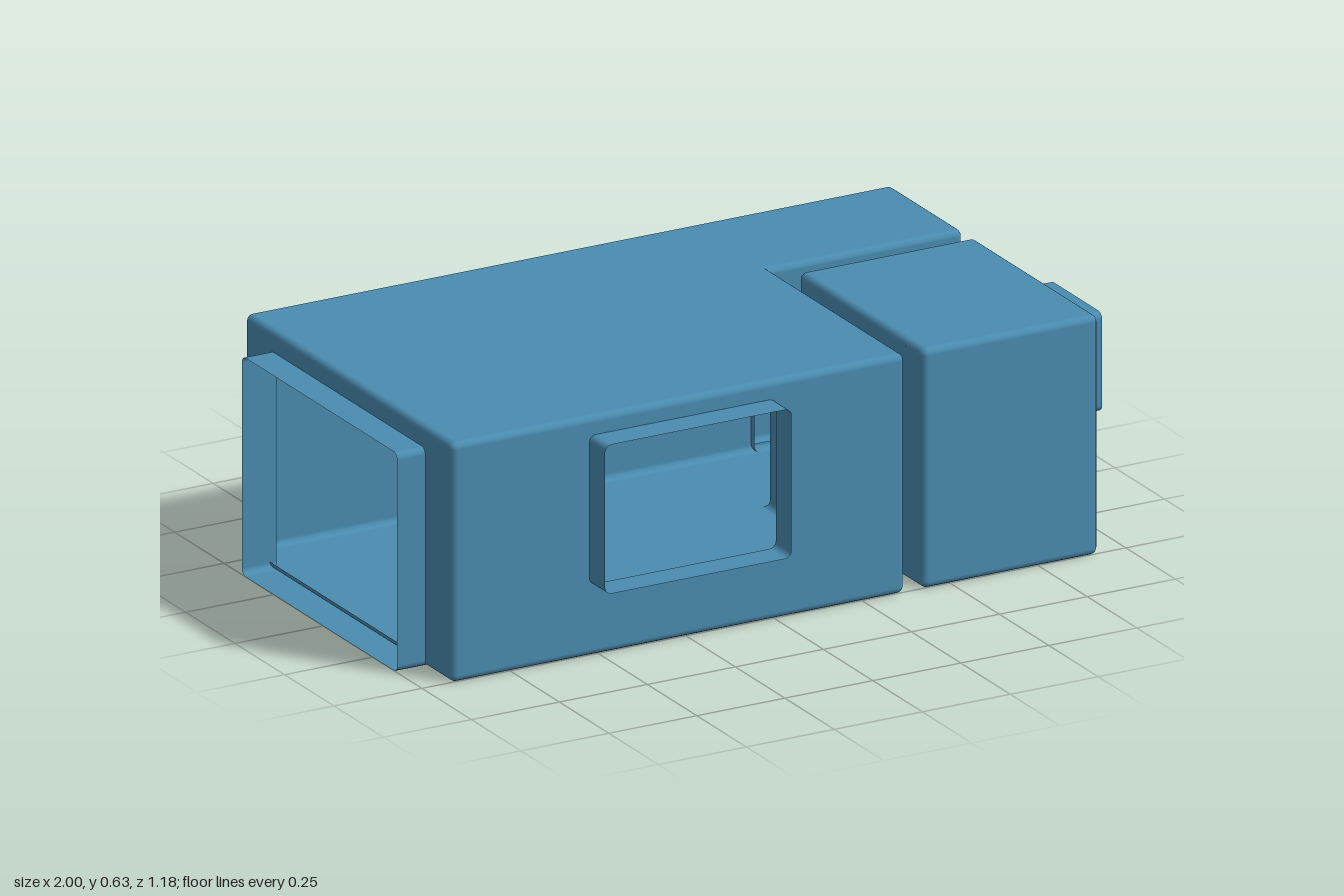
import * as THREE from 'three';

const R = 0.018;      // edge rounding
const HEIGHT = 0.635; // room height
const STEPS = 4;      // facets per rounded corner

// Counter-clockwise outline with rounded convex corners, moved inwards by inset.
// Each entry is [x, y, normalX, normalY, endsCorner].
function outline(poly, inset) {
  const points = [];
  const n = poly.length;
  poly.forEach((p, i) => {
    const a = poly[(i + n - 1) % n], b = poly[(i + 1) % n];
    const before = Math.atan2(p[1] - a[1], p[0] - a[0]) - Math.PI / 2;
    const after = Math.atan2(b[1] - p[1], b[0] - p[0]) - Math.PI / 2;
    const convex = Math.sin(after - before) > 0;
    const reach = convex ? R : inset;
    const cx = p[0] - reach * (Math.cos(before) + Math.cos(after));
    const cy = p[1] - reach * (Math.sin(before) + Math.sin(after));
    const radius = convex ? R - inset : 0;
    const steps = convex ? STEPS : 1;
    const turn = convex ? Math.PI / 2 : -Math.PI / 2;
    for (let k = 0; k <= steps; k++) {
      const t = before + turn * k / steps;
      const nx = Math.cos(t), ny = Math.sin(t);
      points.push([cx + radius * nx, cy + radius * ny, nx, ny, k === steps]);
    }
  });
  return points;
}

// Skin through rings [depth, inset, tilt]; cornersOnly leaves out the flat sides.
function loft(poly, rings, cornersOnly = false) {
  const pos = [], nor = [], index = [];
  let count = 0;
  rings.forEach(([w, inset, tilt], row) => {
    const pts = outline(poly, inset);
    count = pts.length;
    pts.forEach(([x, y, nx, ny, last], j) => {
      pos.push(x, y, w);
      nor.push(nx * Math.cos(tilt), ny * Math.cos(tilt), Math.sin(tilt));
      if (row === 0 || (cornersOnly && last)) return;
      const k = (j + 1) % count, lo = (row - 1) * count, hi = row * count;
      index.push(lo + j, lo + k, hi + k, lo + j, hi + k, hi + j);
    });
  });
  const g = new THREE.BufferGeometry();
  g.setAttribute('position', new THREE.Float32BufferAttribute(pos, 3));
  g.setAttribute('normal', new THREE.Float32BufferAttribute(nor, 3));
  g.setIndex(index);
  return g;
}

// Quarter-round rings, from flat side towards a cap at depth w (dir +1 top, -1 bottom)
function bevel(w, dir) {
  const rings = [];
  for (let k = 0; k <= STEPS; k++) {
    const t = Math.PI / 2 * k / STEPS;
    rings.push([w - dir * R * (1 - Math.sin(t)), R * (1 - Math.cos(t)), dir * t]);
  }
  return dir > 0 ? rings : rings.reverse();
}

const toShape = pts => new THREE.Shape(pts.map(([x, y]) => new THREE.Vector2(x, y)));

// Flat cap inside the rounded edge
function cap(poly) {
  const pts = outline(poly, R).filter(p => p[4]);
  return new THREE.ShapeGeometry(toShape(pts));
}

const rect = (x0, x1, y0, y1) => [[x0, y0], [x1, y0], [x1, y1], [x0, y1]];

// Hollow room; the plan is in (x, -z), ports are openings given along a wall
function room(name, plan, ports, material) {
  const group = new THREE.Group();
  group.name = name;
  const add = (label, g) => {
    const mesh = new THREE.Mesh(g, material);
    mesh.name = label;
    group.add(mesh);
  };
  const upright = g => g.rotateX(-Math.PI / 2);

  // Floor, ceiling and rounded edges
  add('floor', cap(plan).rotateX(Math.PI / 2).scale(1, 1, -1));
  const floor = group.children[0].geometry;
  floor.index.array.reverse();
  floor.attributes.normal.array.forEach((_, i, a) => { a[i] = i % 3 === 1 ? -1 : 0; });
  add('ceiling', upright(cap(plan)).translate(0, HEIGHT, 0));
  add('floorEdge', upright(loft(plan, bevel(0, -1))));
  add('ceilingEdge', upright(loft(plan, bevel(HEIGHT, 1))));
  add('wallCorners', upright(loft(plan, [[R, 0, 0], [HEIGHT - R, 0, 0]], true)));

  // Walls with openings, each laid out in its own plane
  const ring = outline(plan, 0);
  const ends = ring.map((p, i) => (p[4] ? i : -1)).filter(i => i >= 0);
  plan.forEach((p, i) => {
    const q = plan[(i + 1) % plan.length];
    const angle = Math.atan2(q[1] - p[1], q[0] - p[0]);
    const place = g => g.rotateY(angle).translate(p[0], 0, -p[1]);
    const a = ring[ends[i]], b = ring[(ends[i] + 1) % ring.length];
    const along = c => Math.hypot(c[0] - p[0], c[1] - p[1]);
    const wall = toShape(rect(along(a), along(b), R, HEIGHT - R));
    for (const port of ports.filter(o => o.wall === i)) {
      const { s: [s0, s1], y: [y0, y1], depth, closed } = port;
      const frame = rect(s0, s1, y0, y1);
      const hole = outline(frame, 0).map(([x, y]) => [x, Math.max(y, R + 0.001)]);
      wall.holes.push(toShape(hole));
      if (!depth) continue;
      // Sleeve standing out from the wall
      const start = y0 === 0 ? -R : 0;
      const rings = [[start, 0, 0], ...(closed ? bevel(depth, 1) : [[depth, 0, 0]])];
      add(port.name, place(loft(frame, rings)));
      if (closed) add(port.name + 'Panel', place(cap(frame).translate(0, 0, depth)));
    }
    add('wall', place(new THREE.ShapeGeometry(wall)));
  });
  return group;
}

export function createModel() {
  const blue = new THREE.MeshStandardMaterial({ color: 0x4a8cb0, side: THREE.DoubleSide });
  blue.name = 'blue';

  const model = new THREE.Group();
  model.name = 'apartmentShell';

  // L-shaped main room
  model.add(room('mainRoom',
    [[-0.92, -0.51], [0.368, -0.51], [0.368, 0.175], [0.918, 0.175], [0.918, 0.54], [-0.92, 0.54]],
    [
      { name: 'frontWindow', wall: 0, s: [0.39, 0.92], y: [0.19, 0.585], depth: 0.08 },
      { name: 'connectingDoorway', wall: 1, s: [0.26, 0.53], y: [0, 0.58], depth: 0.05 + R },
      { name: 'backDoorNiche', wall: 4, s: [0.138, 0.398], y: [0, 0.58], depth: 0.055, closed: true },
      { name: 'sideOpening', wall: 5, s: [0.13, 0.915], y: [0, 0.58], depth: 0.08 },
    ], blue));

  // Small corner room
  model.add(room('smallRoom',
    [[0.418, -0.51], [0.918, -0.51], [0.918, 0.12], [0.418, 0.12]],
    [
      { name: 'sideWindow', wall: 1, s: [0.13, 0.392], y: [0.32, 0.583], depth: 0.082 },
      { name: 'connectingDoorway', wall: 3, s: [0.10, 0.37], y: [0, 0.58], depth: 0 },
    ], blue));

  return model;
}
